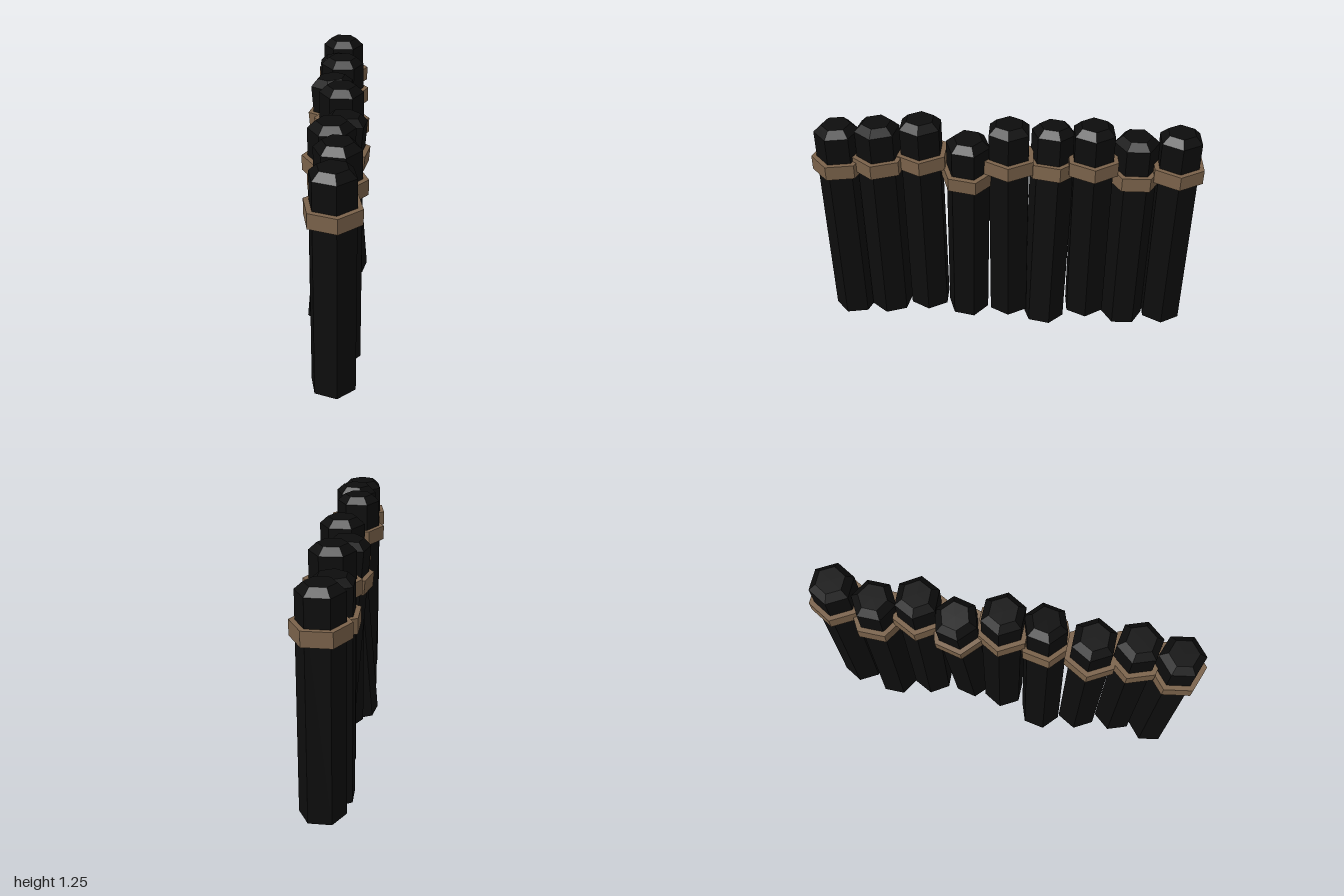
import * as THREE from 'three';

export function createModel() {
  const model = new THREE.Group();
  model.name = 'palisade';
  const charred = new THREE.MeshStandardMaterial({ name: 'charredWood', color: 0x0d0d0d, flatShading: true });
  const rope = new THREE.MeshStandardMaterial({ name: 'ropeBrown', color: 0x7a624a, flatShading: true });

  // Six-sided post with a chamfered top
  const height = 1.17;
  const profile = [[0, 0], [0.115, 0], [0.115, height - 0.037], [0.075, height], [0, height]]
    .map(([r, y]) => new THREE.Vector2(r, y));
  const postGeometry = new THREE.LatheGeometry(profile, 6, Math.PI / 2);
  const bandGeometry = new THREE.CylinderGeometry(0.143, 0.143, 0.077, 6, 1, false, Math.PI / 2);

  // Foot x, y, z, turn in degrees, then the lean of the top in x and z
  const posts = [
    [0, 0.045, 0.86, 20, 0, 0],
    [0.015, 0.07, 0.65, 10, 0, 0],
    [-0.02, 0.075, 0.435, 0, 0, 0],
    [-0.05, 0.009, 0.22, -19, 0.095, -0.03],
    [0.015, 0.078, -0.015, 0, 0, 0],
    [0.05, 0.044, -0.21, -17, -0.095, -0.03],
    [0.01, 0.078, -0.44, -3, 0, 0],
    [-0.02, 0.003, -0.66, 30, 0, 0],
    [0.005, 0.045, -0.873, 0, 0, 0],
  ];
  const up = new THREE.Vector3(0, 1, 0);
  posts.forEach(([x, y, z, turn, leanX, leanZ], i) => {
    const stake = new THREE.Group();
    stake.name = `stake${i + 1}`;
    const post = new THREE.Mesh(postGeometry, charred);
    post.name = 'post';
    const band = new THREE.Mesh(bandGeometry, rope);
    band.name = 'band';
    band.position.y = 0.953;
    stake.add(post, band);

    // Lean the axis first, then turn the stake about it
    const axis = new THREE.Vector3(leanX, height, leanZ).normalize();
    stake.quaternion.setFromUnitVectors(up, axis).multiply(
      new THREE.Quaternion().setFromAxisAngle(up, -THREE.MathUtils.degToRad(turn)));
    stake.position.set(x, y, z);
    model.add(stake);
  });
  return model;
}
